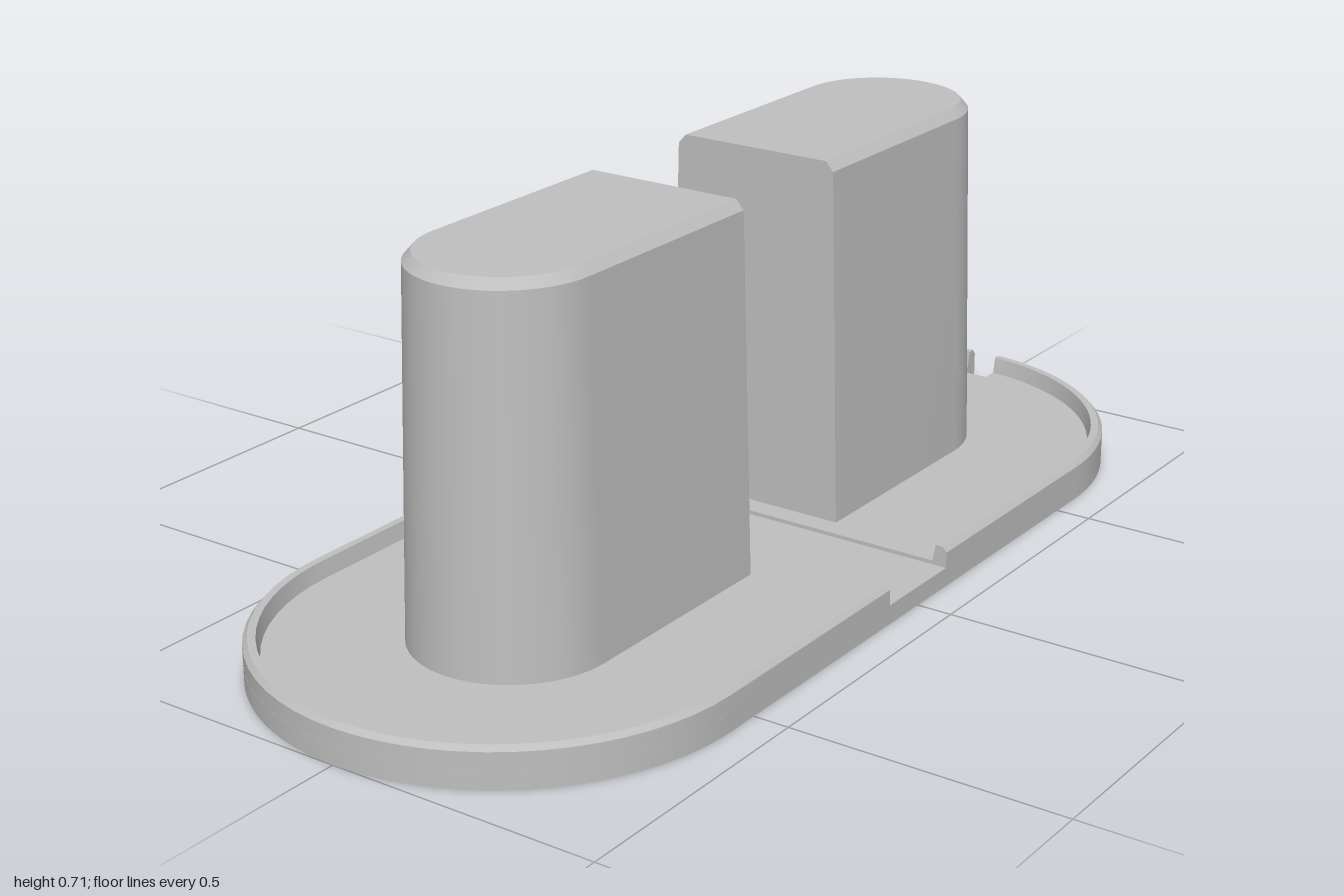
import * as THREE from 'three';
import { toCreasedNormals } from 'three/addons/utils/BufferGeometryUtils.js';

const grey = new THREE.MeshStandardMaterial({ color: 0xbfbfbf });
grey.name = 'grey plastic';

const CX = 0.565;          // centre of the rounded ends
const R = 0.435;           // outer radius of the base
const GROOVE = 0.093;      // half width of the cross channel
const NOTCH = 0.03;        // half width of the end notch
const NOTCH_X = 0.94;      // depth the notch reaches
const Q = Math.PI / 2;

function add(parent, name, geometry) {
  const mesh = new THREE.Mesh(toCreasedNormals(geometry, 0.4), grey);
  mesh.name = name;
  parent.add(mesh);
  return mesh;
}

// Sweep a closed convex section [radius, y] around a rounded end at +x.
// gap is the half width left open at the tip; side picks back, front or both.
function sweep(section, x0, cx, gap, side) {
  const steps = 32, pos = [], idx = [], n = section.length;
  const rows = [];
  for (let i = 0; i <= steps; i++) rows.push(i / steps);
  if (side !== 'front') rows.unshift('start');
  if (side !== 'back') rows.push('end');
  for (const t of rows) {
    for (const [r, y] of section) {
      const tip = gap ? Math.asin(gap / r) : 0;
      const a0 = side === 'front' ? tip : -Q;
      const a1 = side === 'back' ? -tip : Q;
      if (t === 'start') pos.push(x0, y, -r);
      else if (t === 'end') pos.push(x0, y, r);
      else {
        const a = a0 + (a1 - a0) * t;
        pos.push(cx + r * Math.cos(a), y, r * Math.sin(a));
      }
    }
  }
  for (let i = 0; i < rows.length - 1; i++) {
    for (let j = 0; j < n; j++) {
      const k = (j + 1) % n;
      const a = i * n + j, b = i * n + k, c = a + n, d = b + n;
      idx.push(a, b, c, b, d, c);
    }
  }
  // flat end caps
  const last = (rows.length - 1) * n;
  for (let k = 1; k < n - 1; k++) {
    idx.push(0, k + 1, k, last, last + k, last + k + 1);
  }
  const g = new THREE.BufferGeometry();
  g.setAttribute('position', new THREE.Float32BufferAttribute(pos, 3));
  g.setIndex(idx);
  return g;
}

// Flat plate with a rounded +x end; a full plate also has the -x end.
function plate(r, y0, y1, notched, full) {
  const s = new THREE.Shape();
  s.moveTo(full ? -CX : GROOVE, -r);
  s.lineTo(CX, -r);
  if (notched) {
    const tip = Math.asin(NOTCH / r);
    s.absarc(CX, 0, r, -Q, -tip, false);
    s.lineTo(NOTCH_X, -NOTCH);
    s.lineTo(NOTCH_X, NOTCH);
    s.absarc(CX, 0, r, tip, Q, false);
  } else {
    s.absarc(CX, 0, r, -Q, Q, false);
  }
  if (full) s.absarc(-CX, 0, r, Q, 3 * Q, false);
  else s.lineTo(GROOVE, r);
  const g = new THREE.ExtrudeGeometry(s, { depth: y1 - y0, bevelEnabled: false, curveSegments: 32 });
  return g.rotateX(-Q).translate(0, y0, 0);
}

export function createModel() {
  const model = new THREE.Group();
  model.name = 'divided stand';

  add(model, 'basePlate', plate(R, 0, 0.035, true, true));

  const rim = [[R, 0.035], [R, 0.064], [0.427, 0.073], [0.413, 0.073], [0.406, 0.035]];
  const block = [[0.181, 0.035], [0.163, 0.693], [0.148, 0.71], [0, 0.71], [0, 0.035]];

  // Each half: raised floor, rim and tapered block; only +x has the notch
  for (const name of ['left', 'right']) {
    const half = new THREE.Group();
    half.name = name + 'Half';
    const notched = name === 'left';
    add(half, 'floor', plate(0.41, 0.035, 0.042, notched, false));
    if (notched) {
      add(half, 'rimBack', sweep(rim, GROOVE, CX, NOTCH, 'back'));
      add(half, 'rimFront', sweep(rim, GROOVE, CX, NOTCH, 'front'));
    } else {
      add(half, 'rim', sweep(rim, GROOVE, CX, 0, 'both'));
    }
    add(half, 'block', sweep(block, 0.136, 0.554, 0, 'both'));
    if (!notched) half.rotation.y = Math.PI;
    model.add(half);
  }
  return model;
}
